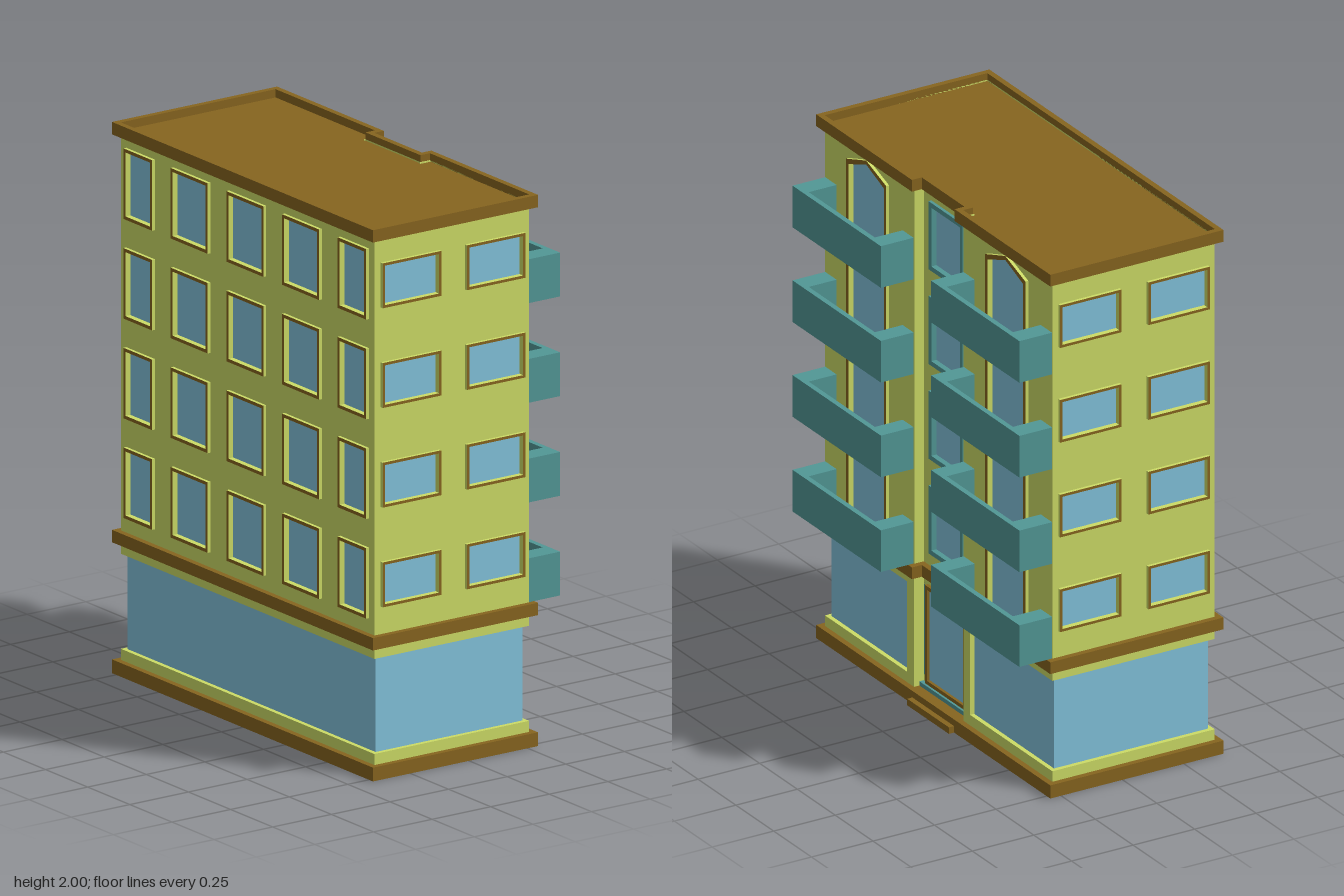
import * as THREE from 'three';

const mat = (color) => new THREE.MeshStandardMaterial({ color, side: THREE.DoubleSide, flatShading: true });
const V = (x, y) => new THREE.Vector2(x, y);

export function createModel() {
  const root = new THREE.Group();
  const lime = mat(0xcddc66), brown = mat(0x87651f), teal = mat(0x529896), glass = mat(0x82c3dc);

  const add = (parent, name, geo, material) => {
    const m = new THREE.Mesh(geo, material);
    m.name = name;
    parent.add(m);
    return m;
  };
  // box given by its min and max corners
  const box = (parent, name, material, x0, x1, y0, y1, z0, z1) =>
    add(parent, name, new THREE.BoxGeometry(x1 - x0, y1 - y0, z1 - z0), material)
      .position.set((x0 + x1) / 2, (y0 + y1) / 2, (z0 + z1) / 2);

  // plan of the building grown by o, with the entrance bay set back
  const XB = -0.388, XF = 0.272, XR = 0.232, ZE = 0.752, ZR = 0.163;
  const plan = (o, notch = true) => {
    const a = XB - o, b = XF + o, r = XR + o, z = ZE + o, n = ZR - o;
    return notch
      ? [V(a, -z), V(b, -z), V(b, -n), V(r, -n), V(r, n), V(b, n), V(b, z), V(a, z)]
      : [V(a, -z), V(b, -z), V(b, z), V(a, z)];
  };
  const shape = (pts, ...holes) => {
    const s = new THREE.Shape(pts);
    s.holes = holes.map((h) => new THREE.Path(h));
    return s;
  };
  const ring = (name, material, outer, inner, y0, y1) => {
    const g = new THREE.ExtrudeGeometry(shape(outer, inner), { depth: y1 - y0, bevelEnabled: false });
    add(root, name, g.rotateX(-Math.PI / 2).translate(0, y0, 0), material);
  };

  // base, shop storey and cornices
  ring('basePlinth', brown, plan(0.022, false), plan(0), 0, 0.05);
  ring('shopLowerBand', lime, plan(0), plan(-0.022), 0.05, 0.09);
  ring('shopGlass', glass, plan(-0.017), plan(-0.021), 0.09, 0.435);
  ring('shopUpperBand', lime, plan(0), plan(-0.022), 0.435, 0.475);
  ring('middleCornice', brown, plan(0.022), plan(-0.005), 0.475, 0.52);
  ring('roofParapet', brown, plan(0.022), plan(0), 1.955, 2);
  add(root, 'roof', new THREE.ShapeGeometry(shape(plan(0.005))).rotateX(-Math.PI / 2).translate(0, 1.97, 0), brown);

  // opening outline, with a raised middle when peak > 0
  const outline = (o, y, t = 0) => {
    const { x, w, lo, hi, peak = 0 } = o;
    const l = x - w / 2 + t, r = x + w / 2 - t, top = y + hi - t;
    const pts = [V(l, y + lo + t), V(r, y + lo + t), V(r, top)];
    if (peak) pts.push(V(x, top + peak));
    return pts.concat(V(l, top));
  };

  // one upper wall: outward is local +z, d from the centre axis
  const rows = [0, 1, 2, 3].map((i) => 0.703 + 0.3617 * i);
  const facade = (name, turn, d, x0, x1, openings) => {
    const g = new THREE.Group();
    g.name = name;
    g.rotation.y = turn;
    root.add(g);
    const holes = [];
    for (const y of rows) for (const o of openings) {
      const outer = outline(o, y), inner = outline(o, y, o.t);
      holes.push(outline(o, y, o.t * 0.5));
      const frame = new THREE.ExtrudeGeometry(shape(outer, inner), { depth: 0.024, bevelEnabled: false });
      add(g, 'windowFrame', frame.translate(0, 0, d - 0.012), [o.color, o.color === teal ? teal : lime]);
      add(g, 'windowPane', new THREE.ShapeGeometry(shape(outline(o, y, o.t * 0.3))).translate(0, 0, d - 0.009), glass);
    }
    const wall = shape([V(x0, 0.515), V(x1, 0.515), V(x1, 1.975), V(x0, 1.975)], ...holes);
    add(g, 'wall', new THREE.ShapeGeometry(wall).translate(0, 0, d), lime);
  };

  const wide = (x) => ({ x, w: 0.25, lo: -0.083, hi: 0.08, t: 0.01, color: brown });
  const tall = (x, w) => ({ x, w, lo: -0.128, hi: 0.128, t: 0.012, color: brown });
  const arch = (x) => ({ x, w: 0.265, lo: -0.165, hi: 0.112, peak: 0.045, t: 0.015, color: brown });
  const bay = { x: 0, w: 0.225, lo: -0.13, hi: 0.13, t: 0.018, color: teal };

  facade('frontWall', 0, ZE, XB, XF, [wide(-0.236), wide(0.123)]);
  facade('backWall', Math.PI, ZE, -XF, -XB, [wide(0.236), wide(-0.123)]);
  facade('rearLongWall', -Math.PI / 2, -XB, -ZE, ZE,
    [tall(-0.635, 0.17), tall(-0.33, 0.22), tall(0, 0.22), tall(0.33, 0.22), tall(0.635, 0.17)]);
  facade('entranceBayWall', Math.PI / 2, XR, -ZR, ZR, [bay]);
  for (const s of [-1, 1]) {
    facade('balconyWall', Math.PI / 2, XF, s < 0 ? -ZE : ZR, s < 0 ? -ZR : ZE, [arch(s * 0.46)]);

    // side of the set-back bay and shop pillar
    box(root, 'bayReturn', lime, XR - 0.004, XF - 0.001, 0.515, 1.975, s * ZR, s * (ZR + 0.004));
    box(root, 'shopPillar', lime, 0.2, XF, 0.05, 0.475, Math.min(s * ZR, s * 0.208), Math.max(s * ZR, s * 0.208));

    // balconies: floor, parapet and thick end blocks
    for (const y of rows) {
      const b = y - 0.183, t = y - 0.024, z = (a, c) => [Math.min(s * a, s * c), Math.max(s * a, s * c)];
      box(root, 'balconySlab', teal, XF, 0.405, b, b + 0.015, ...z(0.166, 0.75));
      box(root, 'balconyFloor', lime, XF, 0.386, b + 0.015, b + 0.02, ...z(0.238, 0.675));
      box(root, 'balconyParapet', teal, 0.385, 0.405, b + 0.015, t, ...z(0.166, 0.75));
      box(root, 'balconyInnerEnd', teal, XF, 0.385, b + 0.015, t, ...z(0.166, 0.238));
      box(root, 'balconyOuterEnd', teal, XF, 0.385, b + 0.015, t, ...z(0.675, 0.75));
    }
  }

  // entrance: surround, framed glass door, sill and step
  box(root, 'doorSurround', teal, 0.222, XR, 0.05, 0.475, -ZR, ZR);
  const door = { x: 0, w: 0.268, lo: 0.07, hi: 0.445 };
  const frame = new THREE.ExtrudeGeometry(shape(outline(door, 0), outline(door, 0, 0.014)), { depth: 0.014, bevelEnabled: false });
  add(root, 'doorFrame', frame.rotateY(Math.PI / 2).translate(XR, 0, 0), brown);
  const pane = new THREE.ShapeGeometry(shape(outline(door, 0, 0.01)));
  add(root, 'doorGlass', pane.rotateY(Math.PI / 2).translate(XR + 0.003, 0, 0), glass);
  box(root, 'doorSill', teal, 0.222, 0.25, 0.05, 0.066, -ZR, ZR);
  box(root, 'entranceStep', brown, 0.27, 0.315, 0, 0.025, -0.138, 0.138);

  return root;
}
